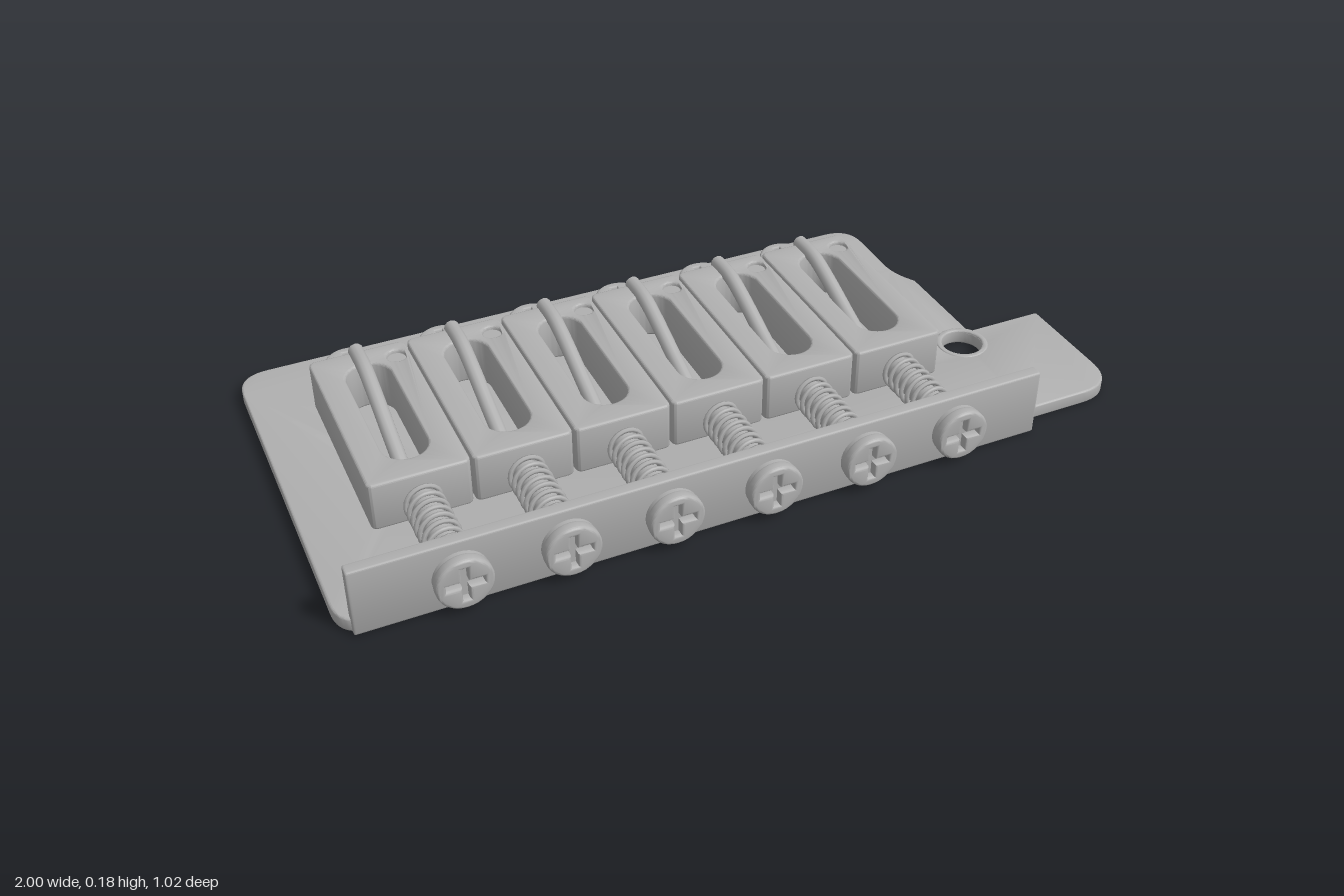
import * as THREE from 'three';
import { toCreasedNormals } from 'three/addons/utils/BufferGeometryUtils.js';

const metal = new THREE.MeshStandardMaterial({ color: 0xb0b0b0 });
metal.name = 'grey metal';

const add = (parent, name, geometry, x = 0, y = 0, z = 0) => {
  const mesh = new THREE.Mesh(geometry, metal);
  mesh.name = name;
  mesh.position.set(x, y, z);
  parent.add(mesh);
  return mesh;
};

// Extrudes a plan drawn in (x, z) between two heights, with softened edges
function slab(shape, y0, y1, bevel) {
  const g = new THREE.ExtrudeGeometry(shape, {
    depth: y1 - y0 - 2 * bevel, bevelEnabled: true, bevelThickness: bevel,
    bevelSize: bevel, bevelOffset: -bevel, bevelSegments: 3, curveSegments: 16,
  });
  g.rotateX(Math.PI / 2).translate(0, y1 - bevel, 0);
  return toCreasedNormals(g, 0.6);
}

// Polygon with a rounding radius per corner: [x, z, radius]
function rounded(points, shape = new THREE.Shape()) {
  const n = points.length;
  points.forEach(([x, z, r], i) => {
    const p = new THREE.Vector2(x, z);
    const toward = ([a, b]) => new THREE.Vector2(a, b).sub(p).setLength(r).add(p);
    const a = toward(points[(i + n - 1) % n]), b = toward(points[(i + 1) % n]);
    if (i) shape.lineTo(a.x, a.y); else shape.moveTo(a.x, a.y);
    if (r) shape.quadraticCurveTo(x, z, b.x, b.y);
  });
  shape.closePath();
  return shape;
}

const rect = (x0, z0, x1, z1, r) =>
  rounded([[x0, z0, r], [x1, z0, r], [x1, z1, r], [x0, z1, r]]);

const circle = (x, z, r) => new THREE.Path().absarc(x, z, r, 0, Math.PI * 2, true);

const stations = [-0.73, -0.485, -0.24, 0.005, 0.25, 0.495];
const holeZ = 0.085;

// Round screw head with a cross recess, seated on y = 0 and facing +y
function screwHead() {
  const head = new THREE.Group();
  add(head, 'headDisc', new THREE.CylinderGeometry(0.064, 0.064, 0.018, 32), 0, 0.009, 0);
  const crown = new THREE.Shape().absarc(0, 0, 0.066, 0, Math.PI * 2, false);
  const l = 0.043, w = 0.008;
  const cross = [[l, w], [w, w], [w, l], [-w, l], [-w, w], [-l, w],
    [-l, -w], [-w, -w], [-w, -l], [w, -l], [w, -w], [l, -w]];
  crown.holes.push(new THREE.Path(cross.reverse().map(([x, z]) => new THREE.Vector2(x, z))));
  add(head, 'crossRecessCrown', slab(crown, 0.008, 0.038, 0.007));
  return head;
}

// Coil running along z
class Helix extends THREE.Curve {
  getPoint(t, target = new THREE.Vector3()) {
    const a = t * 9 * Math.PI * 2;
    return target.set(0.043 * Math.cos(a), 0.043 * Math.sin(a), 0.205 + t * 0.235);
  }
}

export function createModel() {
  const model = new THREE.Group();
  model.name = 'guitarBridge';

  // Base plate with the arm tab and string holes
  const plan = rounded([
    [-1, -0.51, 0.08], [0.76, -0.51, 0.08], [0.755, -0.25, 0.05], [0.79, -0.19, 0],
    [0.79, 0.08, 0], [1, 0.08, 0.01], [1, 0.43, 0.1], [0.735, 0.43, 0.02],
    [0.72, 0.47, 0.015], [-1, 0.47, 0.08],
  ]);
  plan.holes.push(circle(0.74, 0.12, 0.054));
  stations.forEach((x) => plan.holes.push(circle(x, holeZ, 0.026)));
  add(model, 'basePlate', slab(plan, 0, 0.036, 0.005));

  // Collar of the arm socket
  const collar = new THREE.Shape().absarc(0.743, 0.12, 0.067, 0, Math.PI * 2, false);
  collar.holes.push(circle(0.743, 0.12, 0.052));
  add(model, 'armSocketCollar', slab(collar, 0, 0.038, 0.004));

  // Upright front lip
  add(model, 'frontLip', slab(rect(-0.97, 0.441, 0.725, 0.473, 0.006), 0, 0.175, 0.005));

  // Saddle geometry: block with string slot and two height-screw holes
  const block = rect(-0.12, -0.315, 0.12, 0.205, 0.018);
  const slot = new THREE.Path();
  slot.absarc(0, 0.085, 0.055, Math.PI, 0, true);
  slot.absarc(0, -0.2, 0.055, 0, Math.PI, true);
  slot.closePath();
  block.holes.push(slot);
  [-1, 1].forEach((s) => block.holes.push(circle(s * 0.085, -0.258, 0.024)));
  const saddleGeo = slab(block, 0.034, 0.16, 0.006);
  const setScrewGeo = new THREE.CylinderGeometry(0.023, 0.023, 0.116, 20);

  // String rising from the plate and over the back of the saddle
  const path = new THREE.CatmullRomCurve3([
    [0.08, 0.015], [0.065, 0.04], [-0.06, 0.095], [-0.18, 0.143], [-0.24, 0.16], [-0.32, 0.16],
  ].map(([z, y]) => new THREE.Vector3(0, y, z)));
  const stringGeo = new THREE.TubeGeometry(path, 40, 0.019, 12);
  const stringEndGeo = new THREE.CircleGeometry(0.019, 12).rotateY(Math.PI);

  const springGeo = new THREE.TubeGeometry(new Helix(), 200, 0.006, 6);
  const shaftGeo = new THREE.CylinderGeometry(0.032, 0.032, 0.28, 24).rotateX(Math.PI / 2);

  stations.forEach((x) => {
    const unit = new THREE.Group();
    unit.name = 'stringUnit';
    unit.position.x = x;
    model.add(unit);

    add(unit, 'saddle', saddleGeo);
    [-1, 1].forEach((s) => add(unit, 'heightScrew', setScrewGeo, s * 0.085, 0.092, -0.258));
    add(unit, 'string', stringGeo);
    add(unit, 'stringEnd', stringEndGeo, 0, 0.16, -0.32);

    // Intonation screw and spring
    add(unit, 'intonationShaft', shaftGeo, 0, 0.084, 0.325);
    add(unit, 'spring', springGeo, 0, 0.084, 0);
    const front = screwHead();
    front.name = 'intonationScrewHead';
    front.rotation.x = Math.PI / 2;
    front.position.set(0, 0.084, 0.472);
    unit.add(front);

    // Mounting screw behind the saddle
    const mount = screwHead();
    mount.name = 'mountingScrew';
    mount.position.set(0, 0.035, -0.405);
    unit.add(mount);
  });
  return model;
}
